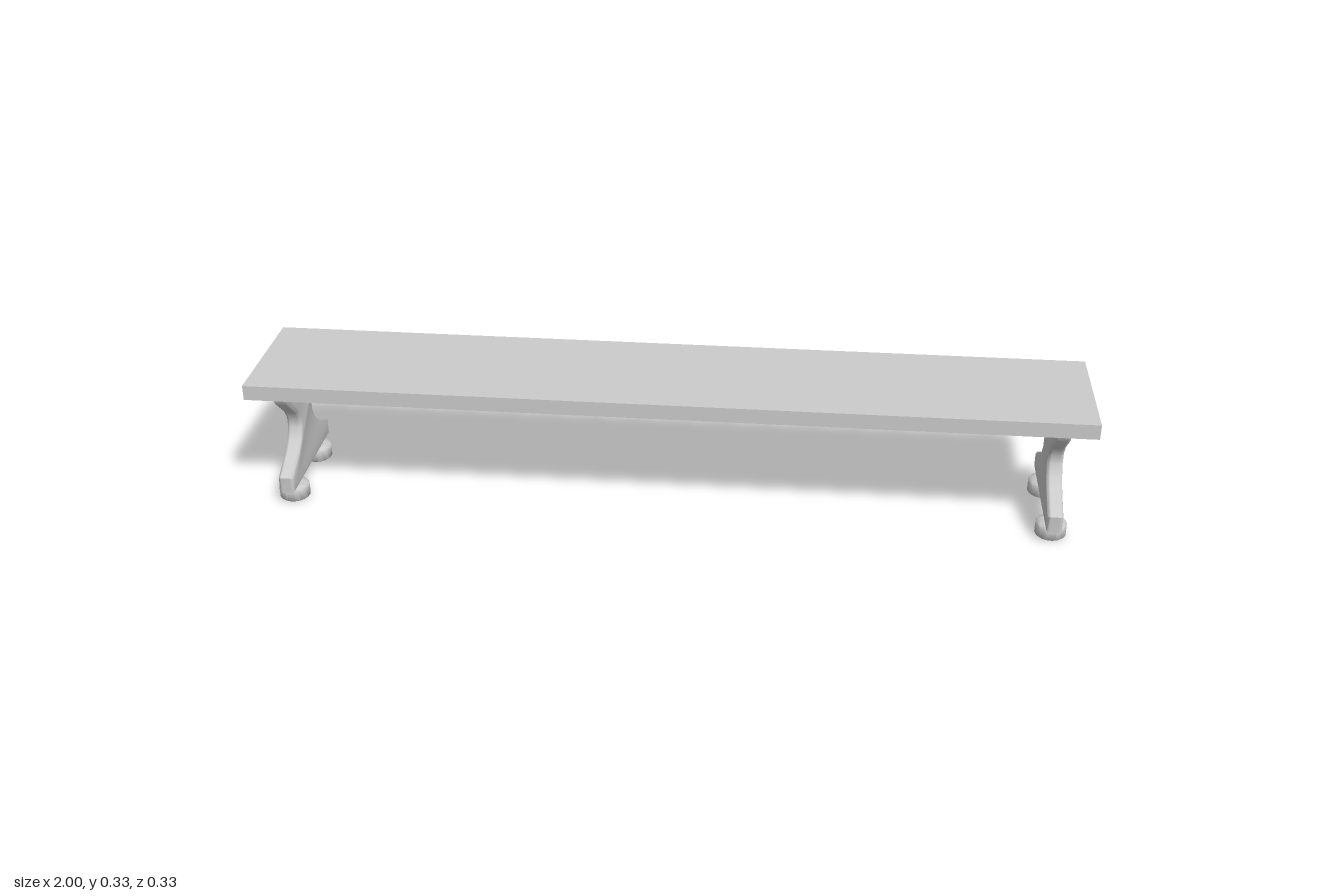
import * as THREE from 'three';
import { toCreasedNormals } from 'three/addons/utils/BufferGeometryUtils.js';

const material = new THREE.MeshStandardMaterial({ color: 0xcccccc });

function addMesh(parent, geometry, name, x, y, z) {
  const mesh = new THREE.Mesh(geometry, material);
  mesh.name = name;
  mesh.position.set(x, y, z);
  parent.add(mesh);
}

// Waisted leg plate: half outline mirrored, extruded with rounded edges
function legGeometry() {
  const half = [
    [0.156, 0.037], [0.158, 0.08], [0.09, 0.117], [0.065, 0.137], [0.049, 0.163],
    [0.049, 0.187], [0.066, 0.213], [0.12, 0.262], [0.13, 0.28], [0.133, 0.305],
  ];
  const mirrored = half.map(([z, y]) => [-z, y]).reverse();
  const shape = new THREE.Shape([...half, ...mirrored].map(([z, y]) => new THREE.Vector2(z, y)));
  const thickness = 0.038, bevel = 0.009;
  const geometry = new THREE.ExtrudeGeometry(shape, {
    depth: thickness - 2 * bevel,
    bevelThickness: bevel, bevelSize: bevel, bevelOffset: -bevel, bevelSegments: 3,
  });
  geometry.translate(0, 0, bevel - thickness / 2);
  geometry.rotateY(-Math.PI / 2);
  return toCreasedNormals(geometry, 0.75);
}

// Round foot pad with softened rims
function footGeometry() {
  const profile = [[0, 0], [0.034, 0], [0.037, 0.003], [0.037, 0.031], [0.034, 0.035], [0.02, 0.038], [0, 0.038]];
  const geometry = new THREE.LatheGeometry(profile.map(([r, y]) => new THREE.Vector2(r, y)), 24);
  return toCreasedNormals(geometry.toNonIndexed(), 0.9);
}

export function createModel() {
  const bench = new THREE.Group();
  bench.name = 'bench';

  addMesh(bench, new THREE.BoxGeometry(2, 0.037, 0.328), 'seat', 0, 0.3135, 0);

  // One leg with two feet at each end
  const leg = legGeometry();
  const foot = footGeometry();
  for (const [side, x] of [['left', 0.925], ['right', -0.925]]) {
    const support = new THREE.Group();
    support.name = `${side}Support`;
    support.position.x = x;
    addMesh(support, leg, `${side}Leg`, 0, 0, 0.001);
    addMesh(support, foot, `${side}FrontFoot`, 0, 0, 0.1);
    addMesh(support, foot, `${side}BackFoot`, 0, 0, -0.098);
    bench.add(support);
  }
  return bench;
}
